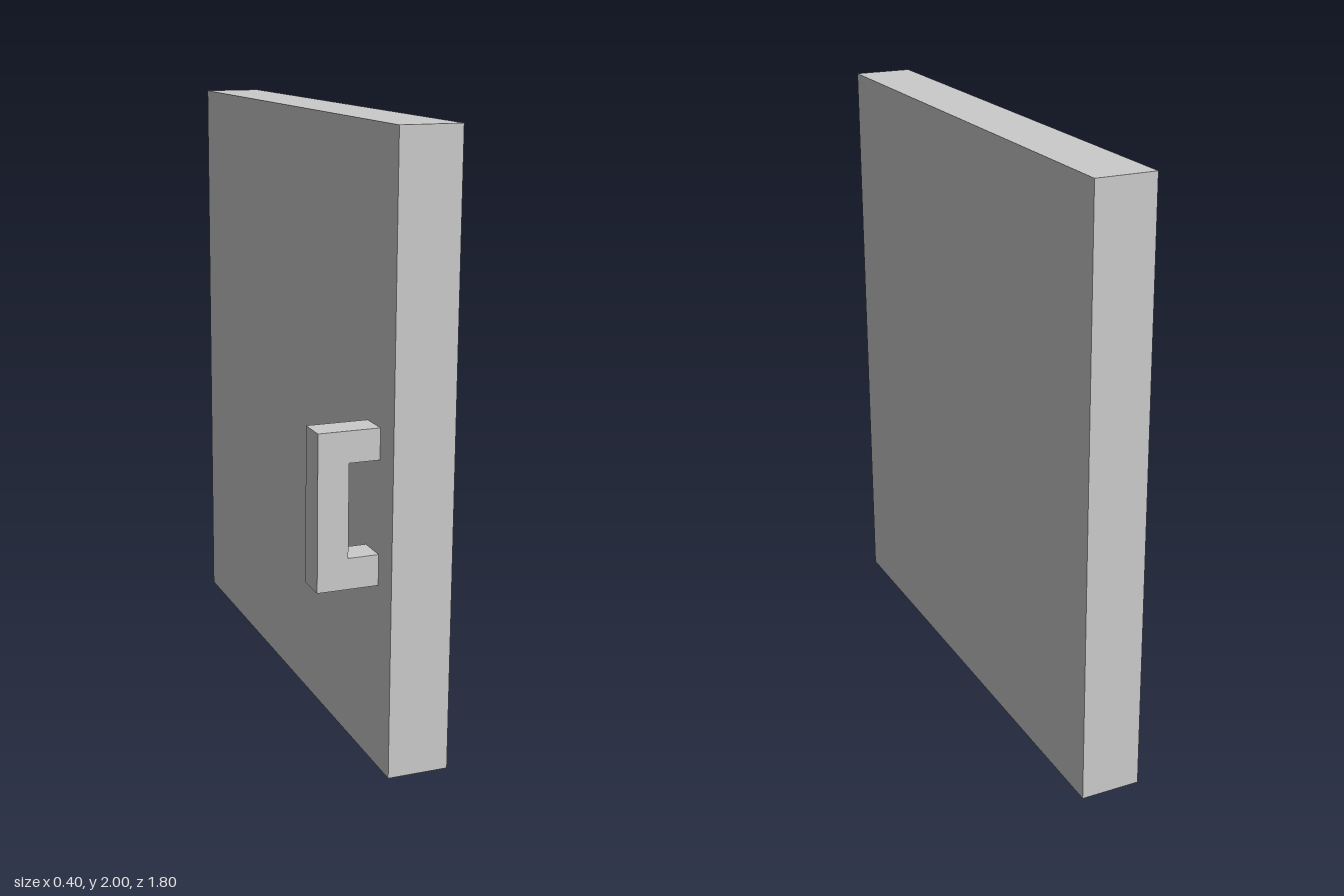
import * as THREE from 'three';

export function createModel() {
  const model = new THREE.Group();
  const material = new THREE.MeshStandardMaterial({ color: 0xcccccc, flatShading: true });

  // Door slab
  const panel = new THREE.Mesh(new THREE.BoxGeometry(0.2, 2, 1.8), material);
  panel.name = 'doorPanel';
  panel.position.set(0.1, 1, 0);
  model.add(panel);

  // C-shaped pull handle, outlined in x/y and extruded along z
  const outline = new THREE.Shape([
    [0, 0.6], [0, 0.7], [-0.1, 0.7], [-0.1, 1.0],
    [0, 1.0], [0, 1.1], [-0.2, 1.1], [-0.2, 0.6],
  ].map(([x, y]) => new THREE.Vector2(x, y)));
  const handle = new THREE.Mesh(
    new THREE.ExtrudeGeometry(outline, { depth: 0.1, bevelEnabled: false }), material);
  handle.name = 'doorHandle';
  handle.position.z = 0.7;
  model.add(handle);

  return model;
}
